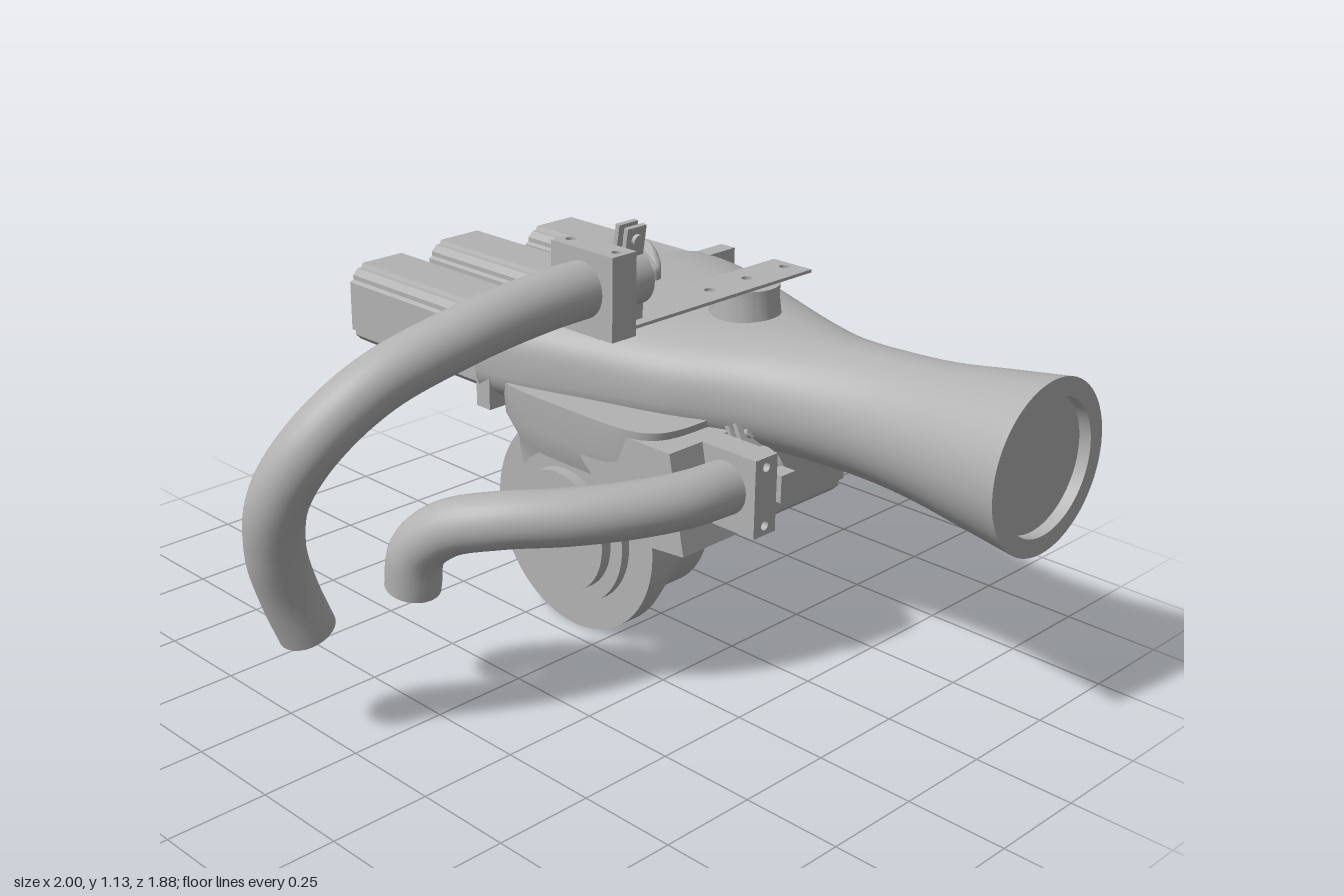
import * as THREE from 'three';
import { toCreasedNormals } from 'three/addons/utils/BufferGeometryUtils.js';

const V = (x, y, z) => new THREE.Vector3(x, y, z);
const metal = new THREE.MeshStandardMaterial({ color: 0xb2b2b2, side: THREE.DoubleSide });
metal.name = 'plain grey';

function add(parent, name, geo, x = 0, y = 0, z = 0) {
  const m = new THREE.Mesh(geo, metal);
  m.name = name;
  m.position.set(x, y, z);
  parent.add(m);
  return m;
}

// Skin over a list of equal-length rings, with flat caps
function loft(rings, capStart, capEnd) {
  const n = rings[0].length, pos = [], idx = [];
  rings.forEach(r => r.forEach(p => pos.push(p.x, p.y, p.z)));
  for (let i = 0; i < rings.length - 1; i++) {
    for (let j = 0; j < n; j++) {
      const k = (j + 1) % n, a = i * n, b = a + n;
      idx.push(a + j, b + j, a + k, b + j, b + k, a + k);
    }
  }
  const cap = (ring, flip) => {
    const s = pos.length / 3, c = V(0, 0, 0);
    ring.forEach(p => { pos.push(p.x, p.y, p.z); c.addScaledVector(p, 1 / n); });
    pos.push(c.x, c.y, c.z);
    for (let j = 0; j < n; j++) {
      const k = (j + 1) % n;
      idx.push(s + n, s + (flip ? k : j), s + (flip ? j : k));
    }
  };
  if (capStart) cap(rings[0], false);
  if (capEnd) cap(rings[rings.length - 1], true);
  const g = new THREE.BufferGeometry();
  g.setAttribute('position', new THREE.Float32BufferAttribute(pos, 3));
  g.setIndex(idx);
  g.computeVertexNormals();
  return g;
}

// Superellipse points as [u, v] in -1..1
function superRing(e, n = 64) {
  const f = v => Math.sign(v) * Math.abs(v) ** (2 / e);
  return Array.from({ length: n }, (_, j) => {
    const t = j / n * Math.PI * 2;
    return [f(Math.cos(t)), f(Math.sin(t))];
  });
}

const lathe = (pts, seg = 64) =>
  toCreasedNormals(new THREE.LatheGeometry(pts.map(p => new THREE.Vector2(...p)), seg), 0.5);
const shapeOf = pts => new THREE.Shape(pts.map(p => new THREE.Vector2(...p)));
const extrude = (shape, depth) =>
  new THREE.ExtrudeGeometry(shape, { depth, bevelEnabled: false, curveSegments: 16 });

// Square motor with notched corners, running along +z from 0
function motorGeometry(h, length) {
  const corner = [[1, 0.6], [0.9, 0.65], [0.9, 0.76], [0.76, 0.9], [0.65, 0.9], [0.6, 1]];
  const pts = [];
  for (let q = 0; q < 4; q++) {
    const c = Math.round(Math.cos(q * Math.PI / 2)), s = Math.round(Math.sin(q * Math.PI / 2));
    corner.forEach(([x, y]) => pts.push([(x * c - y * s) * h, (x * s + y * c) * h]));
  }
  return extrude(shapeOf(pts), length);
}

// Bent handle tube with a closed free end
function handle(parent, name, points, r) {
  const curve = new THREE.CatmullRomCurve3(points.map(p => V(...p)));
  add(parent, name, new THREE.TubeGeometry(curve, 64, r, 28));
  const end = add(parent, name + 'End', new THREE.CircleGeometry(r, 28));
  end.position.copy(curve.getPoint(1));
  end.quaternion.setFromUnitVectors(V(0, 0, 1), curve.getTangent(1));
}

// Drilled mounting block with a split ring clamp behind it
function clampMount(name, clampZ, clampTurn) {
  const g = new THREE.Group();
  g.name = name;
  const s = shapeOf([[-0.1, -0.038], [0.1, -0.038], [0.1, 0.038], [-0.1, 0.038]]);
  for (const x of [-0.075, 0.075]) {
    s.holes.push(new THREE.Path().absarc(x, 0, 0.012, 0, Math.PI * 2, true));
  }
  add(g, 'mountBlock', extrude(s, 0.2).rotateX(-Math.PI / 2), 0, -0.1, 0);
  const clamp = new THREE.Group();
  clamp.name = 'ringClamp';
  clamp.position.z = clampZ;
  clamp.rotation.z = clampTurn;
  g.add(clamp);
  const w = 0.032;
  add(clamp, 'clampRing', lathe([[0.05, -w], [0.066, -w], [0.066, w], [0.05, w], [0.05, -w]], 40).rotateX(Math.PI / 2));
  for (const x of [-0.014, 0.014]) add(clamp, 'clampTab', new THREE.BoxGeometry(0.012, 0.075, 0.06), x, 0.098, 0);
  add(clamp, 'clampBolt', new THREE.CylinderGeometry(0.014, 0.014, 0.06, 16).rotateZ(Math.PI / 2), 0, 0.105, 0);
  add(g, 'clampFoot', new THREE.BoxGeometry(0.07, 0.05, 0.05), 0, -0.075, clampZ);
  return g;
}

export function createModel() {
  const model = new THREE.Group();
  model.name = 'motorTool';

  // Main body: wide rounded rear narrowing to a flared round nose
  // x, top, bottom, back z, front z, roundness
  const body = [
    [-0.4, 0.825, 0.515, -0.865, 0.01, 3.2], [-0.25, 0.828, 0.51, -0.84, -0.03, 3],
    [-0.1, 0.825, 0.515, -0.8, -0.08, 2.8], [0.1, 0.82, 0.52, -0.725, -0.14, 2.5],
    [0.25, 0.82, 0.52, -0.66, -0.205, 2.3], [0.4, 0.82, 0.515, -0.61, -0.25, 2.1],
    [0.55, 0.825, 0.51, -0.595, -0.27, 2], [0.7, 0.835, 0.5, -0.6, -0.265, 2],
    [0.85, 0.857, 0.48, -0.623, -0.245, 2], [1, 0.88, 0.46, -0.643, -0.223, 2],
  ];
  const bodyCurves = [1, 2, 3, 4, 5].map(k => new THREE.CatmullRomCurve3(body.map(s => V(s[0], s[k], 0))));
  const rings = [];
  for (let i = 0; i <= 36; i++) {
    const t = i / 36, p = bodyCurves.map(c => c.getPoint(t));
    const [top, bot, z0, z1, e] = p.map(q => q.y);
    const slant = Math.max(0, 1 - i / 8);
    rings.push(superRing(e).map(([u, v]) =>
      V(p[0].x + slant * (0.01 - 0.03 * u), (top + bot) / 2 + v * (top - bot) / 2, (z0 + z1) / 2 + u * (z1 - z0) / 2)));
  }
  add(model, 'mainBody', loft(rings, true, false));
  add(model, 'noseRim', lathe([[0.21, 0], [0.165, 0], [0.165, -0.03], [0, -0.03]]).rotateZ(-Math.PI / 2), 1, 0.67, -0.433);

  // Neck sweeping from the drum up into the body
  // y, left x, right x, back z, front z
  const neck = [
    [0.006, -0.15, -0.09, -0.11, -0.05], [0.03, -0.235, -0.005, -0.112, -0.05],
    [0.08, -0.31, 0.07, -0.118, -0.05], [0.15, -0.365, 0.125, -0.135, -0.05],
    [0.22, -0.393, 0.153, -0.165, -0.05], [0.285, -0.4, 0.16, -0.205, -0.05],
    [0.36, -0.39, 0.15, -0.265, -0.05], [0.42, -0.365, 0.14, -0.335, -0.04],
    [0.47, -0.345, 0.15, -0.42, -0.02], [0.53, -0.39, 0.18, -0.46, -0.005], [0.62, -0.4, 0.2, -0.48, 0],
  ];
  add(model, 'neck', loft(neck.map(([y, x0, x1, z0, z1]) => superRing(5).map(([u, v]) =>
    V((x0 + x1) / 2 + u * (x1 - x0) / 2, y, (z0 + z1) / 2 + v * (z1 - z0) / 2))), true, true));

  // Stepped drum and its motor
  add(model, 'drum', lathe([[0, -0.3], [0.235, -0.3], [0.235, -0.11], [0.28, -0.11], [0.28, -0.05], [0.235, -0.05],
    [0.2, -0.05], [0.2, -0.025], [0.16, -0.025], [0.16, 0.005], [0, 0.005]], 96).rotateX(Math.PI / 2), -0.12, 0.285, 0);
  add(model, 'drumMotorFlange', new THREE.BoxGeometry(0.24, 0.24, 0.12), -0.12, 0.285, -0.31);
  add(model, 'drumMotorPlate', motorGeometry(0.14, 0.03), -0.12, 0.285, -0.365);
  add(model, 'drumMotor', motorGeometry(0.153, 0.58), -0.12, 0.283, -0.942);

  // Three rear motors: z, outer end, inner end
  for (const [z, x0, x1] of [[-0.727, -0.915, -0.395], [-0.435, -1, -0.47], [-0.138, -0.978, -0.45]]) {
    add(model, 'rearMotor', motorGeometry(0.113, x1 - x0).rotateY(Math.PI / 2), x0, 0.667, z);
    add(model, 'rearMotorCollar', motorGeometry(0.1, 0.07).rotateY(Math.PI / 2), x1 - 0.01, 0.667, z);
    add(model, 'rearMotorFlange', new THREE.BoxGeometry(0.05, 0.265, 0.27), x1 + 0.045, 0.667, z);
  }

  // Raised blister on top
  const blister = new THREE.Shape();
  blister.moveTo(-0.38, 0.35);
  blister.quadraticCurveTo(-0.26, 0.36, -0.21, 0.42);
  blister.quadraticCurveTo(-0.2, 0.435, -0.21, 0.45);
  blister.quadraticCurveTo(-0.27, 0.52, -0.38, 0.525);
  blister.quadraticCurveTo(-0.415, 0.525, -0.415, 0.435);
  blister.quadraticCurveTo(-0.415, 0.35, -0.38, 0.35);
  const bg = new THREE.ExtrudeGeometry(blister,
    { depth: 0.1, bevelThickness: 0.015, bevelSize: 0.012, bevelOffset: -0.012, bevelSegments: 3 });
  // Top slopes down toward the nose
  const bp = bg.attributes.position;
  for (let i = 0; i < bp.count; i++) {
    if (bp.getZ(i) > 0.05) bp.setZ(i, bp.getZ(i) - Math.max(0, bp.getX(i) + 0.3) * 0.35);
  }
  bg.rotateX(Math.PI / 2).scale(1, -1, -1);
  add(model, 'topBlister', toCreasedNormals(bg, 0.6), 0, 0.78, 0);

  // Drilled strip on a round boss carrying the upper handle
  const strip = shapeOf([[0.038, -0.13], [0.163, -0.13], [0.163, 0.605], [0.038, 0.605]]);
  for (const y of [0.3, 0.435, 0.575]) {
    strip.holes.push(new THREE.Path().absarc(0.1, y, 0.014, 0, Math.PI * 2, true));
  }
  add(model, 'topStrip', extrude(strip, 0.008).rotateX(-Math.PI / 2), 0, 0.894, 0);
  add(model, 'stripBoss', lathe([[0.095, 0.78], [0.085, 0.86], [0.085, 0.894], [0, 0.894]]), 0.1, 0, -0.43);
  const upper = clampMount('upperMount', -0.1, -0.15);
  upper.position.set(0.1, 0.995, 0.092);
  model.add(upper);
  handle(model, 'upperHandle', [[0.1, 1, 0.08], [0.1, 0.997, 0.25], [0.09, 0.97, 0.47], [0.05, 0.9, 0.69],
    [0, 0.79, 0.82], [-0.06, 0.66, 0.873], [-0.105, 0.52, 0.86], [-0.125, 0.4, 0.82], [-0.125, 0.285, 0.775]], 0.068);

  // Side bracket and lower handle
  add(model, 'sideBracket', extrude(shapeOf([[-0.05, 0.5], [0.15, 0.335], [0.3, 0.35], [0.25, 0.6], [-0.05, 0.6]]), 0.21), 0, 0, -0.22);
  const lower = clampMount('lowerMount', -0.08, -1.1);
  lower.position.set(0.32, 0.5, -0.16);
  lower.rotation.z = Math.PI / 2;
  model.add(lower);
  handle(model, 'lowerHandle', [[0.325, 0.505, -0.14], [0.315, 0.508, 0], [0.27, 0.508, 0.13], [0.19, 0.505, 0.26],
    [0.08, 0.495, 0.37], [-0.03, 0.46, 0.44], [-0.1, 0.39, 0.47], [-0.122, 0.29, 0.47]], 0.068);

  return model;
}
